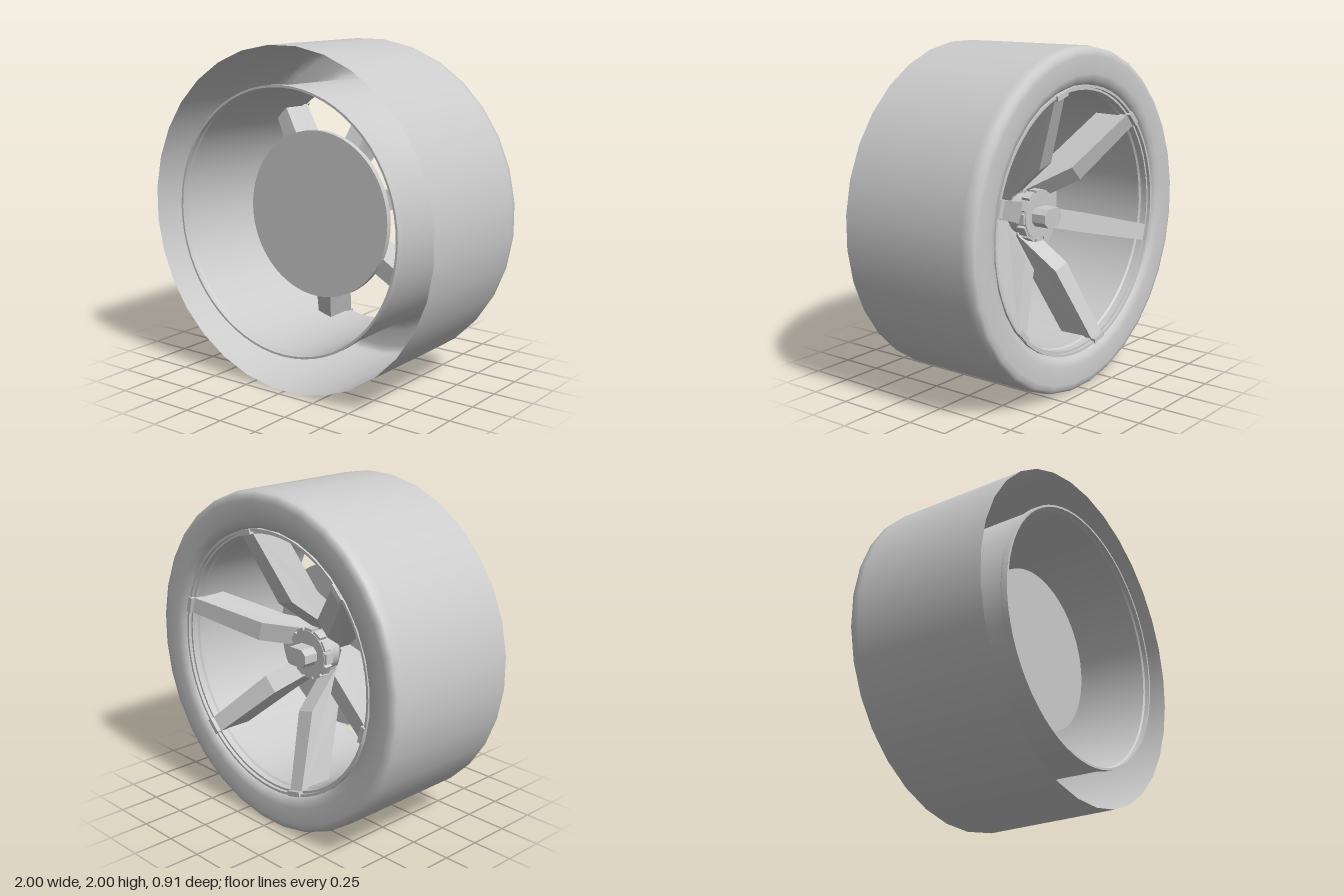
import * as THREE from 'three';
import { toCreasedNormals } from 'three/addons/utils/BufferGeometryUtils.js';

const material = new THREE.MeshStandardMaterial({ color: 0xcccccc });
const shellMaterial = new THREE.MeshStandardMaterial({ color: 0xcccccc, side: THREE.DoubleSide });

function addMesh(parent, name, geometry, mat = material) {
  const mesh = new THREE.Mesh(geometry, mat);
  mesh.name = name;
  parent.add(mesh);
  return mesh;
}

// Revolve [radius, z] points around the wheel axis
function revolve(points, sides, phase = 0) {
  const profile = points.map(([r, z]) => new THREE.Vector2(r, z));
  return new THREE.LatheGeometry(profile, sides, phase).rotateX(Math.PI / 2);
}

// Solid disc along z between two depths
function drum(radius, zBack, zFront, sides) {
  return new THREE.CylinderGeometry(radius, radius, zFront - zBack, sides)
    .rotateX(Math.PI / 2)
    .translate(0, 0, (zBack + zFront) / 2);
}

// Bent spoke: side outline in (radius, z), tapered slightly towards the rim
function spokeGeometry() {
  const outline = [
    [0.08, 0.02], [0.13, 0], [0.325, -0.236], [0.765, -0.42],
    [0.755, -0.2], [0.35, -0.03], [0.2, 0.11], [0.08, 0.11],
  ];
  const shape = new THREE.Shape(outline.map(([r, z]) => new THREE.Vector2(r, z)));
  const geometry = new THREE.ExtrudeGeometry(shape, { depth: 1, bevelEnabled: false });
  geometry.translate(0, 0, -0.5).rotateX(Math.PI / 2);
  const p = geometry.attributes.position;
  for (let i = 0; i < p.count; i++) {
    const width = 0.12 - 0.02 * THREE.MathUtils.smoothstep(p.getX(i), 0.33, 0.75);
    p.setY(i, p.getY(i) * width);
  }
  geometry.computeVertexNormals();
  return geometry;
}

export function createModel() {
  const model = new THREE.Group();
  model.name = 'wheel';
  const wheel = new THREE.Group();
  wheel.name = 'wheelAssembly';
  wheel.position.y = 1;
  model.add(wheel);

  // Tyre: open shell with a rounded shoulder and one sidewall
  const R = 1 / Math.cos(Math.PI / 32);
  addMesh(wheel, 'tyre', revolve([
    [0.785, -0.39], [0.79, -0.42], [0.81, -0.443], [0.85, -0.455], [0.95, -0.457],
    [0.98, -0.45], [0.997, -0.435], [R, -0.4], [R, -0.38], [R, 0.445],
  ], 32, Math.PI / 32), shellMaterial);

  // Rim barrel: thin wall with a stepped lip at each end
  const barrel = revolve([
    [0.785, -0.39], [0.785, -0.43], [0.77, -0.43], [0.77, -0.41], [0.757, -0.41],
    [0.757, -0.37], [0.748, -0.36], [0.765, 0.42], [0.772, 0.43], [0.772, 0.457],
    [0.785, 0.457], [0.785, 0.42], [0.775, 0.41], [0.765, -0.35], [0.785, -0.39],
  ], 64);
  addMesh(wheel, 'rimBarrel', toCreasedNormals(barrel, 0.5), shellMaterial);

  // Six spokes, each with a small tab on the rim lip
  const spoke = spokeGeometry();
  for (let i = 0; i < 6; i++) {
    const arm = new THREE.Group();
    arm.name = 'spokeArm';
    arm.rotation.z = THREE.MathUtils.degToRad(15 + i * 60);
    wheel.add(arm);
    addMesh(arm, 'spoke', spoke);
    addMesh(arm, 'rimTab', new THREE.BoxGeometry(0.03, 0.1, 0.05)).position.set(0.768, 0, -0.415);
  }

  // Brake disc and hub
  addMesh(wheel, 'brakeDisc', drum(0.497, 0.095, 0.13, 64));
  addMesh(wheel, 'hub', drum(0.12, -0.12, 0.1, 24));
  addMesh(wheel, 'hubCap', drum(0.14, -0.14, -0.07, 32));

  // Toothed ring around the hub cap
  for (let i = 0; i < 12; i++) {
    const a = (i / 12) * Math.PI * 2;
    const tooth = addMesh(wheel, 'hubTooth', new THREE.BoxGeometry(0.025, 0.06, 0.055));
    tooth.position.set(Math.cos(a) * 0.142, Math.sin(a) * 0.142, -0.108);
    tooth.rotation.z = a;
  }

  // Centre nut: block with clipped corners
  const nut = new THREE.Shape([
    [-0.08, -0.025], [-0.05, -0.055], [0.05, -0.055], [0.08, -0.025],
    [0.08, 0.025], [0.05, 0.055], [-0.05, 0.055], [-0.08, 0.025],
  ].map(([x, y]) => new THREE.Vector2(x, y)));
  addMesh(wheel, 'centreNut', new THREE.ExtrudeGeometry(nut, { depth: 0.11, bevelEnabled: false }))
    .position.z = -0.235;

  return model;
}
